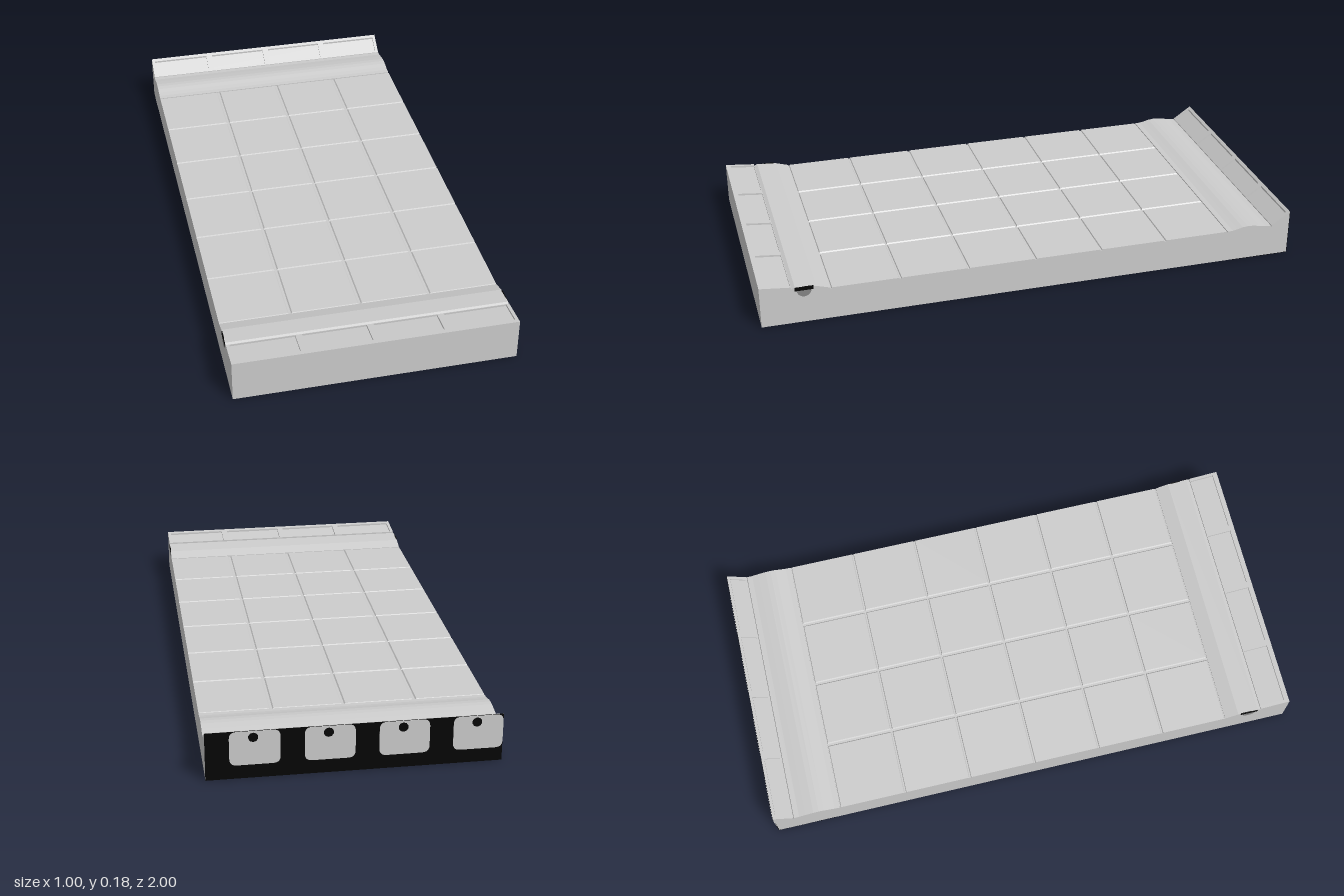
import * as THREE from 'three';

const grey = new THREE.MeshStandardMaterial({ color: 0xcccccc });
grey.name = 'slab grey';
const darkGrey = new THREE.MeshStandardMaterial({ color: 0x858585 });
darkGrey.name = 'channel grey';
const black = new THREE.MeshStandardMaterial({ color: 0x050505 });
black.name = 'black';

const HALF = 0.5, BACK = -0.998, BOTTOM = 0.002, RECESS = 0.007;

function add(parent, name, geometry, material, x = 0, y = 0, z = 0) {
  const mesh = new THREE.Mesh(geometry, material);
  mesh.name = name;
  mesh.position.set(x, y, z);
  parent.add(mesh);
  return mesh;
}

// Rectangle path with an optional corner radius
function rect(path, x0, y0, x1, y1, r = 0) {
  if (!r) return path.moveTo(x0, y0).lineTo(x1, y0).lineTo(x1, y1).lineTo(x0, y1).closePath();
  path.moveTo(x0 + r, y0).lineTo(x1 - r, y0).quadraticCurveTo(x1, y0, x1, y0 + r);
  path.lineTo(x1, y1 - r).quadraticCurveTo(x1, y1, x1 - r, y1);
  path.lineTo(x0 + r, y1).quadraticCurveTo(x0, y1, x0, y1 - r);
  return path.lineTo(x0, y0 + r).quadraticCurveTo(x0, y0, x0 + r, y0);
}

// Side profile as [z, y], swept across the width
function bodyGeometry() {
  const profile = [
    [1, BOTTOM], [1, 0.158 - RECESS], [0.888, 0.147 - RECESS], [0.875, 0.146],
    [0.8, 0.14], [0.75, 0.125], [0.75, 0.121], [-0.75, 0.121], [-0.75, 0.125],
    [-0.77, 0.126], [-0.79, 0.13], [-0.81, 0.135], [-0.83, 0.137], [-0.85, 0.136],
    [-0.88, 0.131], [-0.905, 0.126], [-0.925, 0.125], [-0.927, 0.126 - RECESS],
    [BACK, 0.175 - RECESS], [BACK, BOTTOM],
  ];
  const shape = new THREE.Shape(profile.map(([z, y]) => new THREE.Vector2(-z, y)));
  const g = new THREE.ExtrudeGeometry(shape, { depth: 2 * HALF, bevelEnabled: false });
  return g.rotateY(Math.PI / 2).translate(-HALF, 0, 0);
}

// Four-window frame sheared to follow a slope from (z0, y0) to (z1, y1)
function frameGeometry(z0, y0, z1, y1, margin0, margin1) {
  const shape = rect(new THREE.Shape(), -HALF, -z1, HALF, -z0);
  for (let i = 0; i < 4; i++) {
    const x = -HALF + i * 0.25;
    shape.holes.push(rect(new THREE.Path(), x + 0.012, -z1 + margin1, x + 0.238, -z0 - margin0));
  }
  const g = new THREE.ExtrudeGeometry(shape, { depth: RECESS, bevelEnabled: false });
  g.rotateX(-Math.PI / 2);
  const p = g.attributes.position;
  for (let i = 0; i < p.count; i++) {
    const t = (p.getZ(i) - z0) / (z1 - z0);
    p.setY(i, p.getY(i) - RECESS + y0 + t * (y1 - y0));
  }
  g.computeVertexNormals();
  return g;
}

// Deck tile with chamfered sides; outer edges of the deck stay flush
function tileGeometry(x0, x1, z0, z1) {
  const g = new THREE.BoxGeometry(x1 - x0, 0.005, z1 - z0).toNonIndexed();
  g.translate((x0 + x1) / 2, 0.1225, (z0 + z1) / 2);
  const p = g.attributes.position;
  for (let i = 0; i < p.count; i++) {
    if (p.getY(i) < 0.1225) continue;
    const x = p.getX(i), z = p.getZ(i);
    if (Math.abs(x) < HALF - 0.001) p.setX(i, x + (x < (x0 + x1) / 2 ? 0.005 : -0.005));
    p.setZ(i, z + (z < (z0 + z1) / 2 ? 0.003 : -0.003));
  }
  g.computeVertexNormals();
  return g;
}

export function createModel() {
  const model = new THREE.Group();
  model.name = 'floorSection';
  add(model, 'slab', bodyGeometry(), grey);

  // Tiled deck, the gaps between tiles are the grooves
  const deck = new THREE.Group();
  deck.name = 'deckTiles';
  model.add(deck);
  for (let i = 0; i < 4; i++) {
    for (let j = 0; j < 6; j++) {
      const x0 = -HALF + i * 0.25, z0 = -0.75 + j * 0.25;
      const left = i === 0 ? x0 : x0 + 0.003, right = i === 3 ? x0 + 0.25 : x0 + 0.247;
      add(deck, 'deckTile', tileGeometry(left, right, z0 + 0.002, z0 + 0.248), grey);
    }
  }

  // Recessed trays on the front lip and the back ramp
  add(model, 'frontTrayFrame', frameGeometry(0.888, 0.147, 1, 0.158, 0.002, 0.018), grey);
  add(model, 'backRampFrame', frameGeometry(BACK, 0.175, -0.927, 0.126, 0.01, 0.006), grey);

  // Black backing on the back face and under the back edge
  add(model, 'backBacking', new THREE.BoxGeometry(2 * HALF, 0.172, 0.002), black, 0, 0.088, -0.9982);
  add(model, 'underBacking', new THREE.BoxGeometry(2 * HALF, 0.002, 0.225), black, 0, 0.0018, -0.8865);

  // Rounded grey panels with small dark spots on the backing
  const thin = { depth: 0.002, bevelEnabled: false, curveSegments: 5 };
  const backPanel = new THREE.ExtrudeGeometry(rect(new THREE.Shape(), 0, 0.05, 0.17, 0.173, 0.025), thin);
  const underPanel = new THREE.ExtrudeGeometry(rect(new THREE.Shape(), 0, 0.86, 0.17, 0.99, 0.025), thin);
  underPanel.rotateX(-Math.PI / 2);
  const spot = new THREE.CylinderGeometry(0.017, 0.017, 0.002, 10);
  for (let i = 0; i < 4; i++) {
    const x = -HALF + i * 0.25;
    add(model, 'backPanel', backPanel, grey, x, 0, -1);
    add(model, 'underPanel', underPanel, grey, x, 0, 0);
    add(model, 'backSpot', spot, black, x + 0.09, 0.15, -0.9997).rotation.x = Math.PI / 2;
    add(model, 'underSpot', spot, black, x + 0.06, 0.0007, -0.92).scale.set(0.7, 1, 0.7);
  }

  // Half-round channel ends with black caps on both sides
  const halfDisc = new THREE.CylinderGeometry(0.026, 0.026, 0.002, 16, 1, false, -Math.PI / 2, Math.PI);
  halfDisc.rotateX(Math.PI / 2).rotateY(Math.PI / 2);
  for (const side of [-1, 1]) {
    add(model, 'channelEnd', halfDisc, darkGrey, side * HALF, 0.131, 0.843);
    add(model, 'channelCap', new THREE.BoxGeometry(0.003, 0.014, 0.066), black, side * HALF, 0.137, 0.843);
  }
  return model;
}
